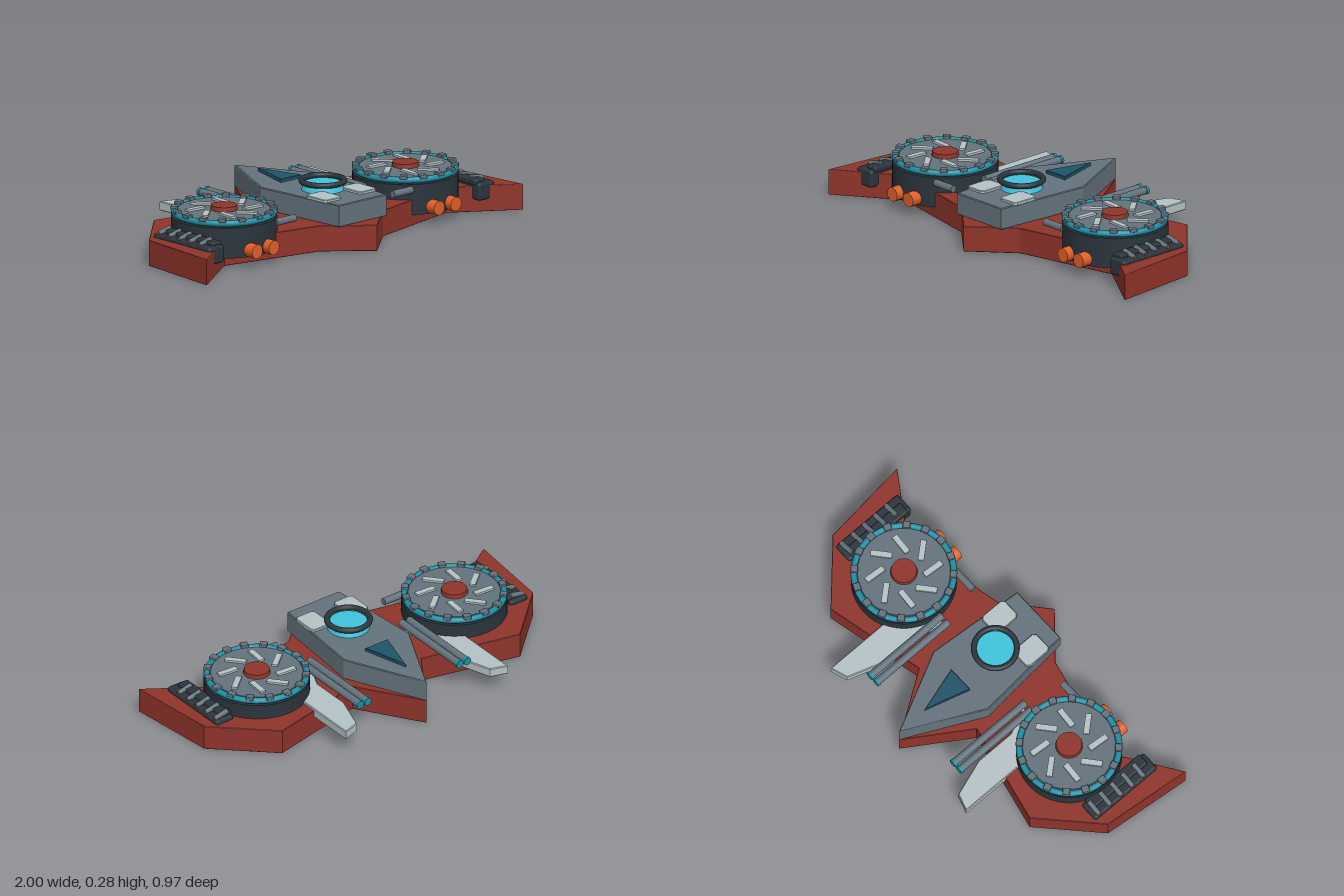
import * as THREE from 'three';
import { RoundedBoxGeometry } from 'three/addons/geometries/RoundedBoxGeometry.js';

const mat = (color) => new THREE.MeshStandardMaterial({ color });
const RED = mat(0x8f342b), GREY = mat(0x64737d), DARK = mat(0x2b353d), TEAL = mat(0x1f8fa3),
  CYAN = mat(0x3fc4dc), LIGHT = mat(0xb6c3c7), ORANGE = mat(0xe0602a), GLASS = mat(0x1f5468);

function add(parent, name, geometry, material, x = 0, y = 0, z = 0) {
  const mesh = new THREE.Mesh(geometry, material);
  mesh.name = name;
  mesh.position.set(x, y, z);
  parent.add(mesh);
  return mesh;
}

// Plan outline of [x, z] points raised from y0 to y1, with a fine chamfer
function slab(points, y0, y1, bevel = 0.004) {
  const shape = new THREE.Shape(points.map(([x, z]) => new THREE.Vector2(x, -z)));
  const geometry = new THREE.ExtrudeGeometry(shape, {
    depth: y1 - y0 - 2 * bevel, bevelEnabled: bevel > 0, bevelThickness: bevel,
    bevelSize: bevel, bevelOffset: -bevel, bevelSegments: 1,
  });
  return geometry.rotateX(-Math.PI / 2).translate(0, y0 + bevel, 0);
}

// Half outline from back to front, mirrored into a closed one
const mirrored = (half) => [...half, ...half.map(([x, z]) => [-x, z]).reverse().filter(([x]) => x !== 0)];

const rod = (r, length, axis, sides = 20) => {
  const g = new THREE.CylinderGeometry(r, r, length, sides);
  return axis === 'z' ? g.rotateX(Math.PI / 2) : g.rotateZ(Math.PI / 2);
};

// Fan turret: drum, glowing rim, bolts, blades and hub
function rotor(s) {
  const g = new THREE.Group();
  g.name = 'rotor';
  g.position.set(s * 0.573, 0, 0.06);
  add(g, 'drum', new THREE.CylinderGeometry(0.246, 0.246, 0.145, 48), DARK, 0, 0.123, 0);
  add(g, 'fanPlate', new THREE.CylinderGeometry(0.215, 0.225, 0.03, 48), GREY, 0, 0.208, 0);
  add(g, 'rim', new THREE.TorusGeometry(0.232, 0.015, 10, 48).rotateX(Math.PI / 2), TEAL, 0, 0.214, 0);
  add(g, 'hub', new THREE.CylinderGeometry(0.06, 0.064, 0.025, 24), RED, 0, 0.231, 0);
  for (let i = 0; i < 16; i++) {
    const a = (i / 16) * Math.PI * 2;
    const bolt = add(g, 'rimBolt', new RoundedBoxGeometry(0.036, 0.018, 0.034, 1, 0.004), GREY,
      Math.sin(a) * 0.23, 0.229, Math.cos(a) * 0.23);
    bolt.rotation.y = a;
  }
  for (let i = 0; i < 8; i++) {
    const a = ((i + 0.2) / 8) * Math.PI * 2;
    const blade = add(g, 'fanBlade', new THREE.BoxGeometry(0.028, 0.012, 0.1), LIGHT,
      Math.sin(a) * 0.135, 0.227, Math.cos(a) * 0.135);
    blade.rotation.y = a + 0.55;
  }
  return g;
}

// Outer pod with a row of tilted exhausts
function sidePod(s) {
  const g = new THREE.Group();
  g.name = 'sidePod';
  add(g, 'podBody', new RoundedBoxGeometry(0.1, 0.085, 0.385, 2, 0.014), DARK, s * 0.853, 0.1, 0.122);
  add(g, 'podRidge', new RoundedBoxGeometry(0.06, 0.03, 0.34, 2, 0.01), DARK, s * 0.83, 0.142, 0.122);
  for (let i = 0; i < 5; i++) {
    const exhaust = new THREE.Group();
    exhaust.name = 'exhaust';
    exhaust.position.set(s * 0.858, 0.15, -0.04 + i * 0.069);
    exhaust.rotation.z = -s * 0.22;
    add(exhaust, 'exhaustPipe', rod(0.012, 0.075, 'x', 12), GREY);
    add(exhaust, 'exhaustTip', rod(0.008, 0.006, 'x', 12), ORANGE, s * 0.038, 0, 0);
    g.add(exhaust);
  }
  return g;
}

// Everything carried by one wing; s is +1 for left, -1 for right
function wingGear(s) {
  const g = new THREE.Group();
  g.name = s > 0 ? 'leftWingGear' : 'rightWingGear';
  g.add(rotor(s), sidePod(s));
  for (const x of [0.522, 0.628]) {
    add(g, 'thruster', rod(0.034, 0.13, 'z', 16), ORANGE, s * x, 0.083, 0.28);
  }
  // Twin barrels with glowing muzzles
  for (const x of [0.267, 0.31]) {
    add(g, 'barrel', rod(0.018, 0.435, 'z'), GREY, s * x, 0.17, -0.157);
    add(g, 'muzzle', rod(0.02, 0.014, 'z'), TEAL, s * x, 0.17, -0.382);
  }
  add(g, 'sidePipe', rod(0.017, 0.12, 'x'), GREY, s * 0.37, 0.17, 0.255);
  // Rear fin
  const fin = [[0.47, -0.487], [0.385, -0.46], [0.325, -0.28], [0.325, -0.08], [0.265, 0.05], [0.47, 0.05]];
  add(g, 'rearFin', slab(fin.map(([x, z]) => [s * x, z]), 0.09, 0.135), LIGHT);
  // Chamfered deck plate
  const [w, d, c] = [0.055, 0.07, 0.014];
  const plate = [[-w + c, -d], [w - c, -d], [w, -d + c], [w, d - c], [w - c, d], [-w + c, d], [-w, d - c], [-w, -d + c]];
  add(g, 'deckPlate', slab(plate, 0.22, 0.237, 0.003), LIGHT, s * 0.11, 0, 0.24);
  return g;
}

export function createModel() {
  const model = new THREE.Group();
  model.name = 'spacecraft';

  // Winged hull
  const hull = mirrored([[0, -0.483], [0.2, -0.18], [0.69, -0.29], [0.955, -0.04], [1, 0.4],
    [0.7, 0.2], [0.2, 0.31], [0, 0.483]]);
  add(model, 'hull', slab(hull, 0, 0.123, 0.002), RED);

  // Central cabin
  const cabin = mirrored([[0, -0.483], [0.19, -0.1], [0.15, 0.385]]);
  add(model, 'cabin', slab(cabin, 0.12, 0.225), GREY);
  add(model, 'rearWindow', slab([[0, -0.325], [0.065, -0.1], [-0.065, -0.1]], 0.222, 0.241, 0.003), GLASS);

  // Round canopy
  add(model, 'canopyGlass', new THREE.CylinderGeometry(0.088, 0.1, 0.034, 40), CYAN, 0, 0.239, 0.115);
  add(model, 'canopyRing', new THREE.TorusGeometry(0.1, 0.0135, 12, 48).rotateX(Math.PI / 2), DARK, 0, 0.266, 0.115);

  model.add(wingGear(1), wingGear(-1));
  return model;
}
